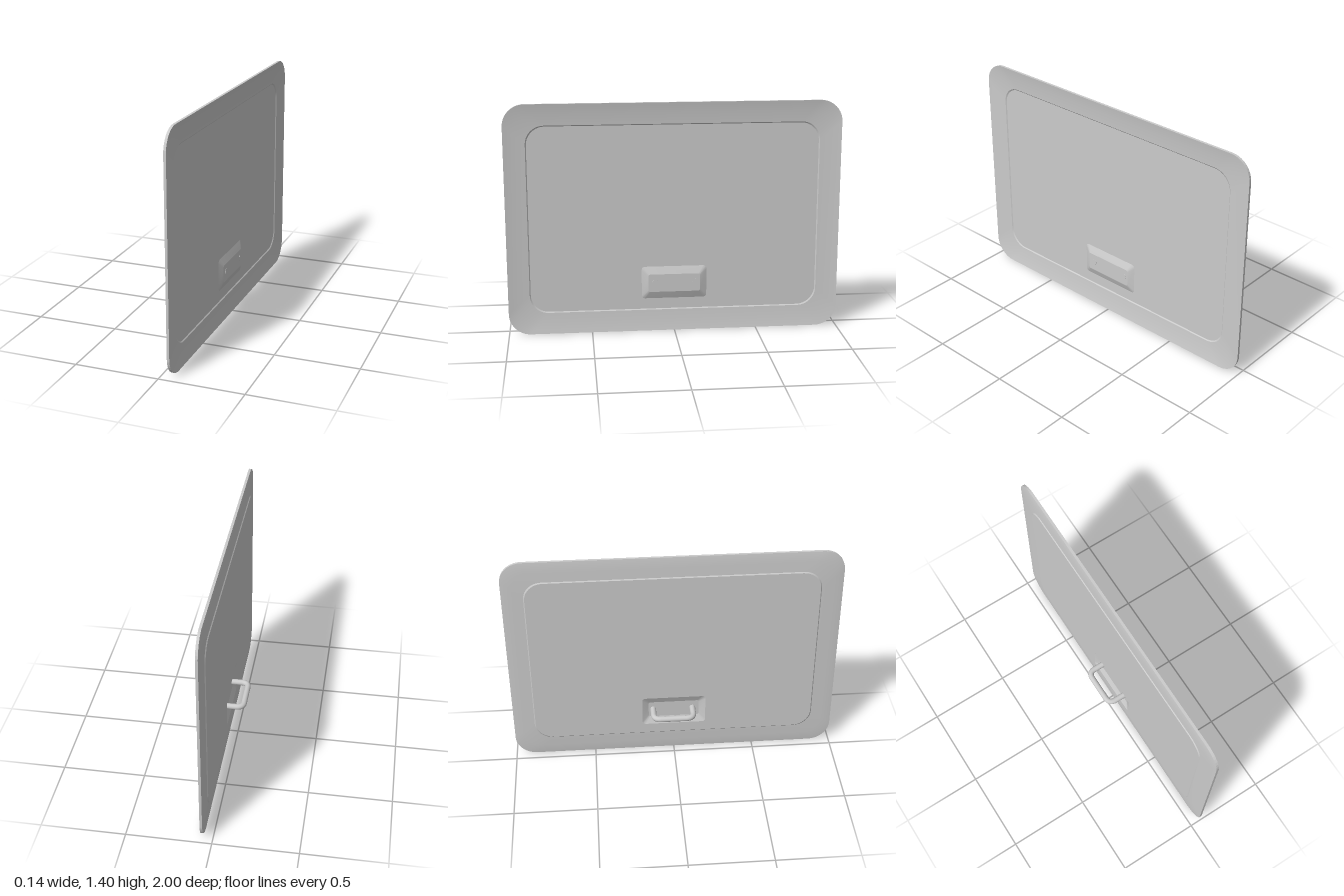
import * as THREE from 'three';
import { toCreasedNormals } from 'three/addons/utils/BufferGeometryUtils.js';

const STEPS = 10; // segments per rounded corner

// Rounded rectangle in the z-y plane at depth x, counterclockwise seen from -x
function loop(x, halfZ, y0, y1, r) {
  const pts = [];
  const corners = [[halfZ - r, y1 - r], [r - halfZ, y1 - r], [r - halfZ, y0 + r], [halfZ - r, y0 + r]];
  corners.forEach(([z, y], c) => {
    for (let i = 0; i <= STEPS; i++) {
      const a = (c + i / STEPS) * Math.PI / 2;
      pts.push([x, y + r * Math.sin(a), z + r * Math.cos(a)]);
    }
  });
  return pts;
}

// Concentric outline of the panel, inset from its outer edge
const ring = (x, inset) => loop(x, 1 - inset, inset, 1.4 - inset, 0.13 - inset * 0.15);

// Joins successive loops into a closed skin, capped at both ends
function loft(loops) {
  const n = loops[0].length, pos = loops.flat(2), index = [];
  for (let k = 0; k < loops.length - 1; k++) {
    for (let i = 0; i < n; i++) {
      const j = (i + 1) % n, a = k * n, b = a + n;
      index.push(a + i, b + i, b + j, a + i, b + j, a + j);
    }
  }
  const last = (loops.length - 1) * n;
  for (let i = 1; i < n - 1; i++) {
    index.push(0, i, i + 1, last, last + i + 1, last + i);
  }
  const g = new THREE.BufferGeometry();
  g.setAttribute('position', new THREE.Float32BufferAttribute(pos, 3));
  g.setIndex(index);
  return toCreasedNormals(g, 0.14);
}

export function createModel() {
  const group = new THREE.Group();
  const material = new THREE.MeshStandardMaterial({ color: 0xcccccc });
  const add = (name, geometry) => {
    const mesh = new THREE.Mesh(geometry, material);
    mesh.name = name;
    group.add(mesh);
    return mesh;
  };

  // Pressed sheet: recess floor, flat field, stepped crease, sloping border, rim, then the far side
  add('panel', loft([
    loop(0.058, 0.157, 0.245, 0.355, 0.012),
    loop(0.039, 0.197, 0.2, 0.4, 0.02),
    ring(0.039, 0.134),
    ring(0.044, 0.128),
    ring(0.047, 0.06),
    ring(0.050, 0.02),
    ring(0.053, 0),
    ring(0.068, 0),
    ring(0.066, 0.012),
    ring(0.058, 0.06),
    ring(0.053, 0.128),
    ring(0.048, 0.134),
    loop(0.048, 0.197, 0.2, 0.4, 0.02),
    loop(0.066, 0.157, 0.245, 0.355, 0.012),
  ]));

  // Bent bar handle, its ends passing through the recess floor
  const y = 0.303, out = -0.05, half = 0.123, bend = 0.045, midZ = -0.006;
  const P = (x, z) => new THREE.Vector3(x, y, midZ + z);
  const path = new THREE.CurvePath();
  path.add(new THREE.LineCurve3(P(0.067, -half), P(out + bend, -half)));
  path.add(new THREE.QuadraticBezierCurve3(P(out + bend, -half), P(out, -half), P(out, bend - half)));
  path.add(new THREE.LineCurve3(P(out, bend - half), P(out, half - bend)));
  path.add(new THREE.QuadraticBezierCurve3(P(out, half - bend), P(out, half), P(out + bend, half)));
  path.add(new THREE.LineCurve3(P(out + bend, half), P(0.067, half)));
  add('handle', new THREE.TubeGeometry(path, 80, 0.018, 16));

  // Handle end caps on the far side
  for (const s of [-1, 1]) {
    const cap = add('handleEnd', new THREE.CylinderGeometry(0.018, 0.018, 0.008, 16));
    cap.rotation.z = Math.PI / 2;
    cap.position.copy(P(0.064, s * half));
  }
  return group;
}
